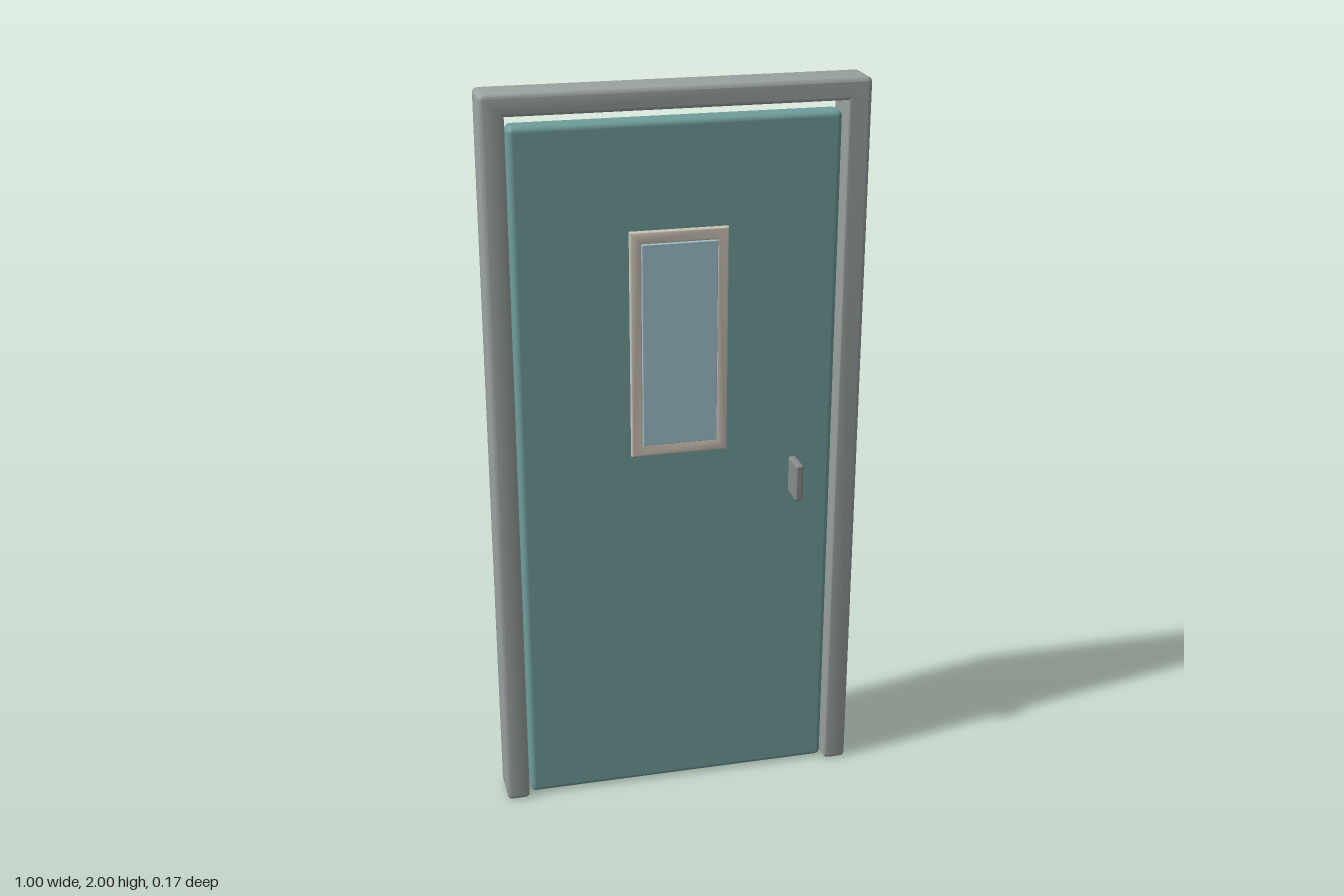
import * as THREE from 'three';
import { RoundedBoxGeometry } from 'three/addons/geometries/RoundedBoxGeometry.js';
import { toCreasedNormals } from 'three/addons/utils/BufferGeometryUtils.js';

const material = (color) => new THREE.MeshStandardMaterial({ color });

// Closed path through points, each corner rounded by its own radius
function roundedPath(points, path) {
  const n = points.length;
  const vec = (i) => new THREE.Vector2(...points[(i + n) % n]);
  for (let i = 0; i < n; i++) {
    const p = vec(i);
    const r = points[i][2] ?? 0;
    const a = p.clone().add(vec(i - 1).sub(p).setLength(r));
    const b = p.clone().add(vec(i + 1).sub(p).setLength(r));
    if (i === 0) path.moveTo(a.x, a.y);
    else path.lineTo(a.x, a.y);
    if (r > 0) path.quadraticCurveTo(p.x, p.y, b.x, b.y);
  }
  path.closePath();
  return path;
}

// Extrusion with softened edges, filling z0 to z1
function softExtrude(shape, z0, z1, bevel) {
  const geometry = new THREE.ExtrudeGeometry(shape, {
    depth: z1 - z0 - 2 * bevel,
    bevelEnabled: true,
    bevelThickness: bevel,
    bevelSize: bevel,
    bevelOffset: -bevel,
    bevelSegments: 3,
    curveSegments: 4,
  });
  geometry.translate(0, 0, z0 + bevel);
  return toCreasedNormals(geometry, 0.65);
}

// Rounded box given by its extents on each axis
function softBox([x0, x1], [y0, y1], [z0, z1], radius) {
  const geometry = new RoundedBoxGeometry(x1 - x0, y1 - y0, z1 - z0, 3, radius);
  return geometry.translate((x0 + x1) / 2, (y0 + y1) / 2, (z0 + z1) / 2);
}

const rectangle = (w, y0, y1) => [[-w, y0], [w, y0], [w, y1], [-w, y1]];

export function createModel() {
  const group = new THREE.Group();
  const add = (name, geometry, color) => {
    const mesh = new THREE.Mesh(geometry, material(color));
    mesh.name = name;
    group.add(mesh);
  };

  // Surround: two posts joined by a lintel
  const r = 0.014;
  const surround = roundedPath([
    [-0.5, 0, r], [-0.437, 0, r], [-0.437, 1.943], [0.437, 1.943],
    [0.437, 0, r], [0.5, 0, r], [0.5, 2, r], [-0.5, 2, r],
  ], new THREE.Shape());
  add('doorFrame', softExtrude(surround, -0.085, 0.03, 0.01), 0x9aa3a0);

  // Door leaf
  add('doorPanel', softBox([-0.43, 0.43], [0.005, 1.915], [-0.055, 0.013], 0.015), 0x6f9d9b);

  // Window trim and pane, on the front only
  const trim = roundedPath(rectangle(0.13, 1.02, 1.635), new THREE.Shape());
  trim.holes.push(roundedPath(rectangle(0.1, 1.052, 1.603), new THREE.Path()));
  add('windowTrim', softExtrude(trim, 0, 0.027, 0.004), 0xcfc6b8);
  add('windowPane', softBox([-0.1, 0.1], [1.052, 1.603], [0, 0.033], 0.002), 0x9fc0cb);

  // Upright handle
  add('handle', softBox([0.309, 0.33], [0.87, 0.975], [0, 0.085], 0.006), 0x858c8b);

  return group;
}
